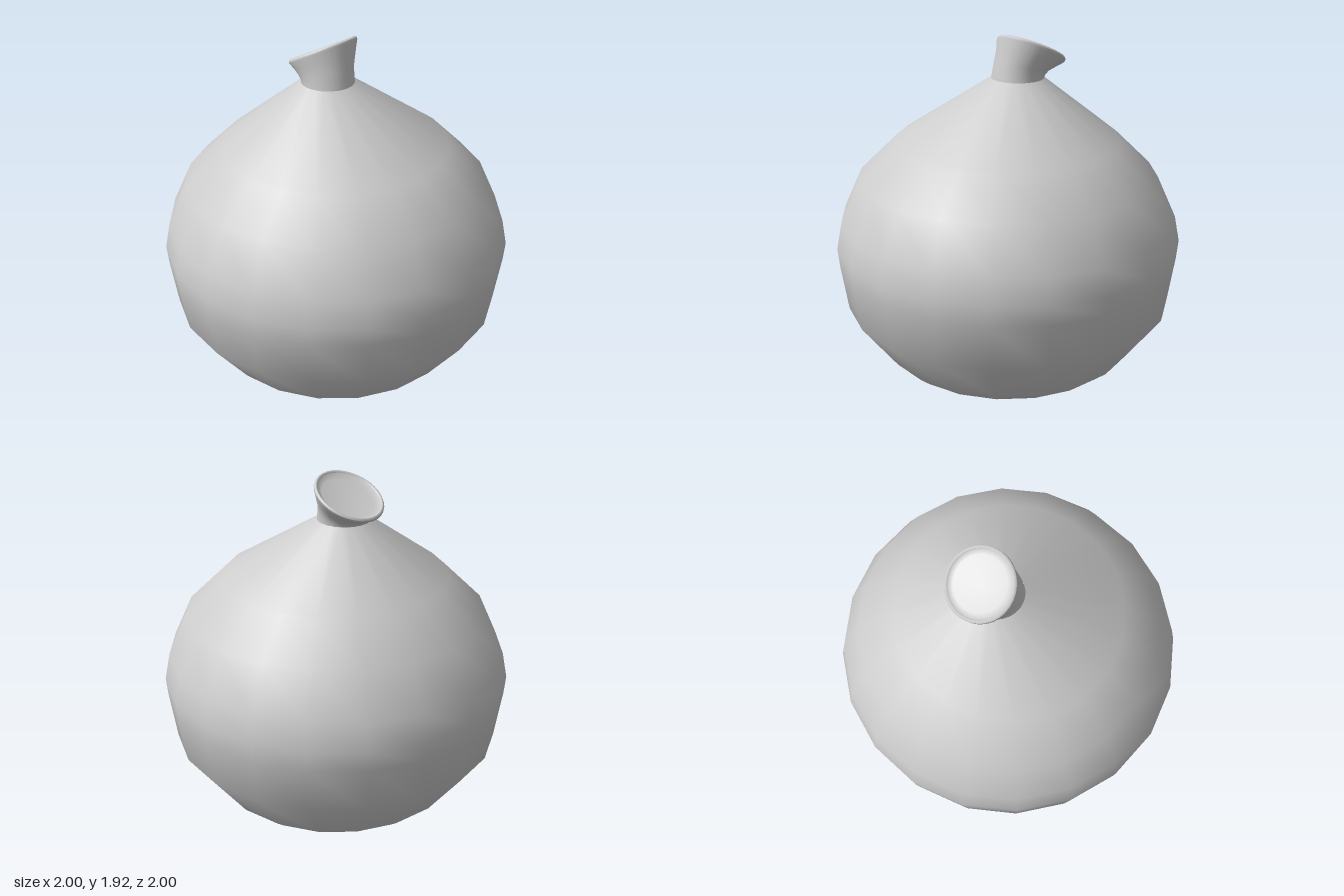
import * as THREE from 'three';

const material = new THREE.MeshStandardMaterial({ color: 0xcccccc });

// Skins a stack of rings [x, y, z, radius, tilt]; tilt lifts the front of the ring.
function loft(name, rings, sides) {
  const positions = [];
  const index = [];
  for (const [x, y, z, r, tilt = 0] of rings) {
    for (let i = 0; i < sides; i++) {
      const a = (i / sides) * Math.PI * 2;
      const d = r * Math.sin(a);
      positions.push(x + r * Math.cos(a), y + d * Math.sin(tilt), z + d * Math.cos(tilt));
    }
  }
  for (let j = 0; j < rings.length - 1; j++) {
    for (let i = 0; i < sides; i++) {
      const a = j * sides + i;
      const b = j * sides + ((i + 1) % sides);
      if (rings[j + 1][3] > 0) index.push(a, a + sides, b + sides);
      if (rings[j][3] > 0) index.push(a, b + sides, b);
    }
  }
  const geometry = new THREE.BufferGeometry();
  geometry.setAttribute('position', new THREE.Float32BufferAttribute(positions, 3));
  geometry.setIndex(index);
  geometry.computeVertexNormals();
  const mesh = new THREE.Mesh(geometry, material);
  mesh.name = name;
  return mesh;
}

export function createModel() {
  const group = new THREE.Group();
  group.name = 'bottle';
  const bodySides = 20;
  const neckSides = 32;
  const tilt = 0.49;

  // Flat underside
  group.add(loft('base', [[0, 0, 0, 0], [0, 0, 0, 0.62]], bodySides));

  // Round belly, its shoulder drawn slightly back to meet the neck
  const profile = [[0.62, 0], [0.68, 0.02], [0.74, 0.07], [0.95, 0.35], [0.99, 0.62],
    [1, 0.73], [0.97, 0.88], [0.86, 1.12], [0.645, 1.33]];
  const belly = profile.map(([r, y]) => [0, y, 0, r]);
  belly.push([0.01, 1.67, -0.07, 0.15]);
  group.add(loft('body', belly, bodySides));

  // Neck flaring into a slanted mouth
  group.add(loft('neck', [
    [0.01, 1.665, -0.07, 0.15, 0],
    [0.012, 1.695, -0.078, 0.15, 0.1],
    [0.018, 1.73, -0.093, 0.157, 0.24],
    [0.035, 1.775, -0.12, 0.178, 0.39],
    [0.045, 1.815, -0.142, 0.201, tilt],
    [0.047, 1.825, -0.147, 0.201, tilt],
  ], neckSides));

  // Thin rounded lip
  group.add(loft('lip', [
    [0.047, 1.825, -0.147, 0.201, tilt],
    [0.048, 1.833, -0.151, 0.195, tilt],
    [0.048, 1.833, -0.151, 0.187, tilt],
    [0.048, 1.827, -0.148, 0.181, tilt],
  ], neckSides));

  // Shallow closed hollow inside the mouth
  group.add(loft('mouth', [
    [0.048, 1.827, -0.148, 0.181, tilt],
    [0.055, 1.81, -0.142, 0.15, tilt],
    [0.055, 1.81, -0.142, 0, tilt],
  ], neckSides));

  return group;
}
